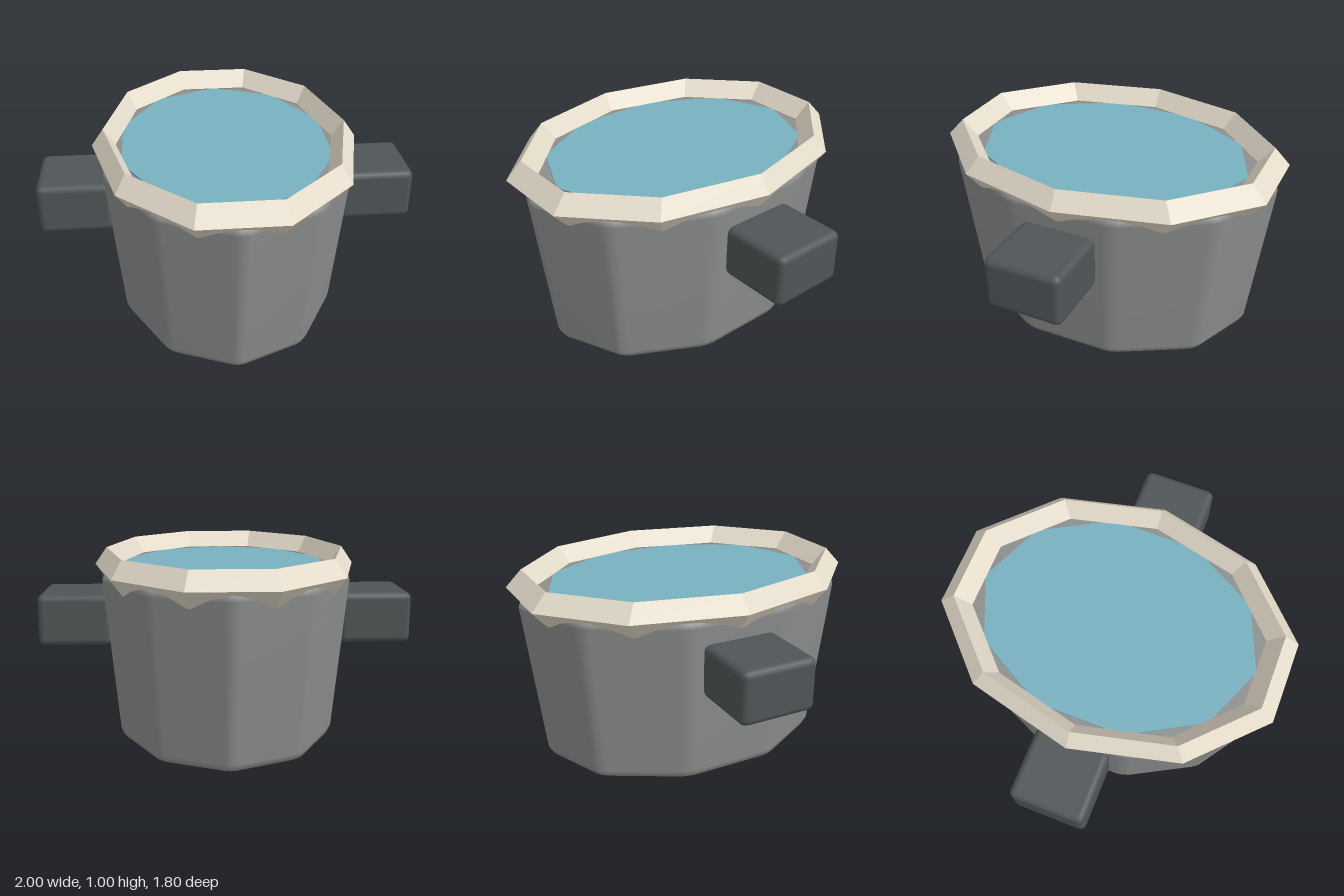
import * as THREE from 'three';
import { RoundedBoxGeometry } from 'three/addons/geometries/RoundedBoxGeometry.js';

const SIDES = 10;
const X_RATIO = 0.75; // oval: width / depth

const mat = (color, flatShading = false) => new THREE.MeshStandardMaterial({ color, flatShading });

function addMesh(parent, name, geometry, material) {
  const mesh = new THREE.Mesh(geometry, material);
  mesh.name = name;
  parent.add(mesh);
  return mesh;
}

// Unit decagon with a corner on +z, each corner bevelled with three points
function bevelledDecagon(t) {
  const corner = (i) => {
    const a = (i / SIDES) * Math.PI * 2;
    return new THREE.Vector2(Math.sin(a), Math.cos(a));
  };
  const points = [];
  for (let i = 0; i < SIDES; i++) {
    const c = corner(i);
    const before = c.clone().lerp(corner(i - 1), t);
    const after = c.clone().lerp(corner(i + 1), t);
    const middle = before.clone().add(after).multiplyScalar(0.5).lerp(c, 0.45);
    points.push(before, middle, after);
  }
  return points;
}

// Closed tapered body lofted through [y, radius] levels, bottom to top
function loftBody(levels) {
  const outline = bevelledDecagon(0.09);
  const n = outline.length;
  const positions = [];
  const index = [];
  for (const [y, r] of levels) {
    for (const p of outline) positions.push(p.x * r * X_RATIO, y, p.y * r);
  }
  for (let j = 0; j < levels.length - 1; j++) {
    for (let i = 0; i < n; i++) {
      const k = (i + 1) % n;
      const a = j * n + i, b = j * n + k, c = a + n, d = b + n;
      index.push(a, b, d, a, d, c);
    }
  }
  // End caps
  const last = levels.length - 1;
  const bottom = positions.length / 3;
  positions.push(0, levels[0][0], 0, 0, levels[last][0], 0);
  for (let i = 0; i < n; i++) {
    const k = (i + 1) % n;
    index.push(bottom, k, i, bottom + 1, last * n + i, last * n + k);
  }
  const geometry = new THREE.BufferGeometry();
  geometry.setAttribute('position', new THREE.Float32BufferAttribute(positions, 3));
  geometry.setIndex(index);
  geometry.computeVertexNormals();
  return geometry;
}

export function createModel() {
  const model = new THREE.Group();
  model.name = 'cookingPot';

  // Tapered pot with softened edges
  const levels = [[0, 0.755], [0.013, 0.783], [0.05, 0.805], [0.86, 0.906], [0.887, 0.895], [0.9, 0.865]];
  addMesh(model, 'potBody', loftBody(levels), mat(0x8c8f8e));

  // Contents: a thin oval slab just above the pot's top
  const contents = new THREE.CylinderGeometry(1, 1, 0.04, SIDES);
  contents.scale(0.573, 1, 0.745);
  contents.translate(0, 0.89, 0);
  addMesh(model, 'contents', contents, mat(0x78b0c0, true));

  // Rim: faceted oval ring with a diamond section
  const rim = new THREE.TorusGeometry(1, 0.0975, 4, SIDES);
  rim.rotateX(-Math.PI / 2);
  rim.scale(0.643, 0.09 / 0.0975, 0.862);
  rim.translate(0, 0.91, 0);
  addMesh(model, 'rim', rim, mat(0xe5dccb, true));

  // Block handles on both sides
  const handleMaterial = mat(0x4f5557);
  for (const [name, side] of [['leftHandle', 1], ['rightHandle', -1]]) {
    const handle = addMesh(model, name, new RoundedBoxGeometry(0.385, 0.275, 0.4, 2, 0.035), handleMaterial);
    handle.position.set(side * 0.8075, 0.633, 0);
  }
  return model;
}
